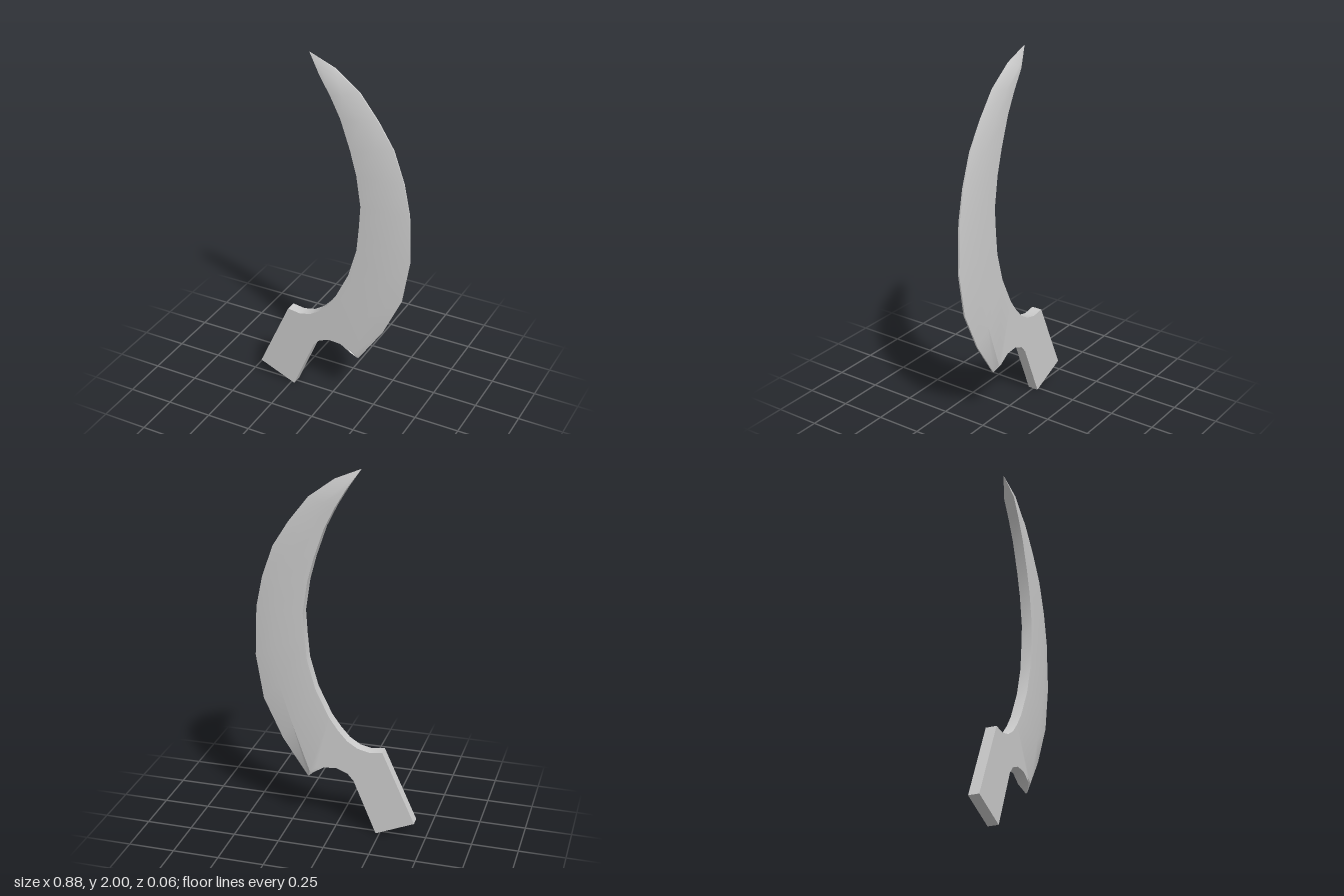
import * as THREE from 'three';
import { toCreasedNormals } from 'three/addons/utils/BufferGeometryUtils.js';

const T = 0.029; // half thickness of the plate
const E = 0.004; // half thickness of the cutting edge

// Each station: inner x, y, outer x, y, position of the bevel line (0 inner - 1 outer), half thickness at outer edge
const tangStations = [
  [-0.44, 0.09, -0.23, 0, 0.9, T],
  [-0.26, 0.49, -0.105, 0.30, 0.9, T],
];
const bladeStations = [
  tangStations[1],
  // neck, with the rounded notch below
  [-0.19, 0.48, -0.07, 0.34, 0.9, T],
  [-0.125, 0.495, -0.01, 0.363, 0.9, T],
  [-0.07, 0.53, 0.06, 0.358, 0.9, T],
  [-0.02, 0.585, 0.12, 0.32, 0.9, T],
  // heel spike, where the bevelled edge begins
  [0.03, 0.655, 0.155, 0.28, 0.88, E],
  [0.105, 0.81, 0.295, 0.49, 0.68, E],
  [0.15, 0.97, 0.40, 0.715, 0.62, E],
  [0.162, 1.10, 0.44, 0.96, 0.61, E],
  [0.17, 1.23, 0.43, 1.23, 0.61, E],
  [0.145, 1.40, 0.395, 1.40, 0.6, E],
  [0.11, 1.53, 0.335, 1.57, 0.6, E],
  [0.055, 1.69, 0.25, 1.705, 0.55, E],
  [0, 1.80, 0.145, 1.84, 0.45, E],
  [-0.06, 1.90, 0.01, 1.94, 0.3, E],
];

// Six-cornered section: inner, bevel line and outer edge on both faces
function section([ix, iy, ox, oy, f, edge]) {
  const rx = ix + (ox - ix) * f, ry = iy + (oy - iy) * f;
  return [[ix, iy, T], [rx, ry, T], [ox, oy, edge], [ox, oy, -edge], [rx, ry, -T], [ix, iy, -T]];
}

// Skin consecutive sections; optionally close the start or run into a point
function loft(stations, { cap = false, tip = null } = {}) {
  const rings = stations.map(section);
  const pos = [];
  const tri = (...pts) => pts.forEach((p) => pos.push(...p));
  for (let i = 0; i < rings.length - 1; i++) {
    for (let j = 0; j < 6; j++) {
      const k = (j + 1) % 6;
      const a = rings[i][j], b = rings[i][k], c = rings[i + 1][k], d = rings[i + 1][j];
      tri(a, b, c);
      tri(a, c, d);
    }
  }
  if (cap) for (let j = 1; j < 5; j++) tri(rings[0][0], rings[0][j + 1], rings[0][j]);
  if (tip) {
    const last = rings[rings.length - 1];
    for (let j = 0; j < 6; j++) tri(last[j], last[(j + 1) % 6], tip);
  }
  const geo = new THREE.BufferGeometry();
  geo.setAttribute('position', new THREE.Float32BufferAttribute(pos, 3));
  return toCreasedNormals(geo, 0.6);
}

export function createModel() {
  const group = new THREE.Group();
  group.name = 'sickleBlade';
  const material = new THREE.MeshStandardMaterial({ color: 0xcccccc });
  const add = (name, geometry) => {
    const mesh = new THREE.Mesh(geometry, material);
    mesh.name = name;
    group.add(mesh);
  };
  add('tang', loft(tangStations, { cap: true }));
  add('curvedBlade', loft(bladeStations, { tip: [-0.13, 2, 0] }));
  return group;
}
